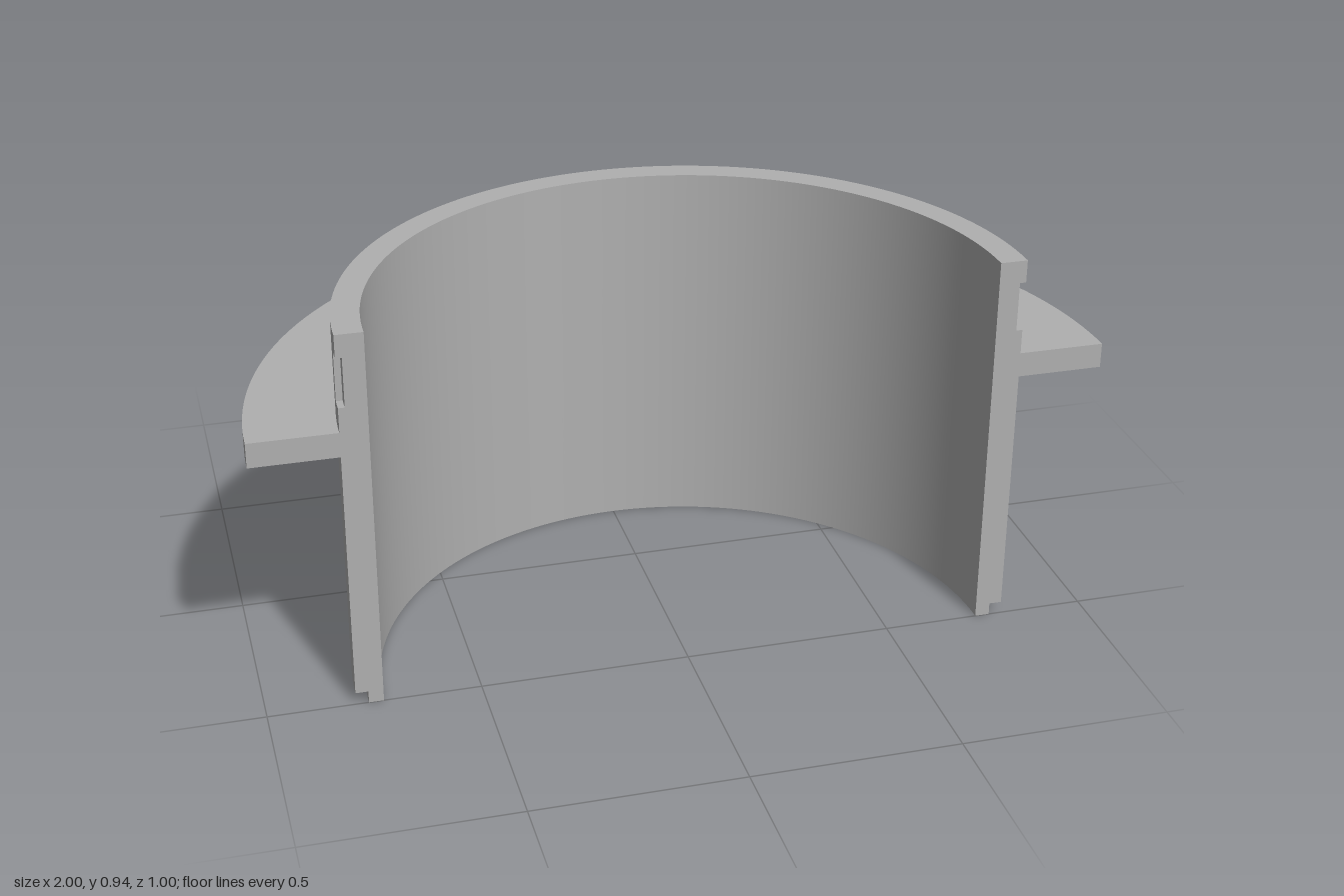
import * as THREE from 'three';
import { mergeGeometries } from 'three/addons/utils/BufferGeometryUtils.js';

const WALL_IN = 0.73, WALL_OUT = 0.795, LIP = 0.765, TOP = 0.94;
const SLOT = { r: 0.78, y0: 0.765, y1: 0.885, half: 0.036 / WALL_OUT };
const points = (list) => list.map(([r, y]) => new THREE.Vector2(r, y));

// Sweep a counter-clockwise profile between two angles (0 = +x end, PI = -x end), one crisp band per edge
function sweep(profile, a0, a1, closed = true) {
  const bands = [];
  const segments = Math.max(2, Math.round((a1 - a0) / Math.PI * 96));
  const count = closed ? profile.length : profile.length - 1;
  for (let i = 0; i < count; i++) {
    const edge = [profile[i], profile[(i + 1) % profile.length]];
    bands.push(new THREE.LatheGeometry(edge, segments, Math.PI / 2 + a0, a1 - a0));
  }
  return bands;
}

// Flat cut faces at both ends of the half ring
function endFaces(profile) {
  return [1, -1].map((s) =>
    new THREE.ShapeGeometry(new THREE.Shape(profile.map((p) => new THREE.Vector2(s * p.x, p.y)))));
}

// Radial side wall of a slot
function slotSide(angle, flip) {
  const g = new THREE.PlaneGeometry(WALL_OUT - SLOT.r, SLOT.y1 - SLOT.y0);
  if (flip) g.rotateY(Math.PI);
  g.translate((WALL_OUT + SLOT.r) / 2, (SLOT.y0 + SLOT.y1) / 2, 0);
  return g.rotateY(angle);
}

export function createModel() {
  const grey = new THREE.MeshStandardMaterial({ color: 0xb0b0b0 });
  grey.name = 'grey';
  const model = new THREE.Group();
  model.name = 'halfCollar';
  const add = (name, parts) => {
    const mesh = new THREE.Mesh(mergeGeometries(parts), grey);
    mesh.name = name;
    mesh.position.z = 0.5;
    model.add(mesh);
  };

  // Wall profiles with a stepped bottom lip, plain and with a slot
  const foot = [[WALL_IN, 0], [LIP, 0], [LIP, 0.03], [WALL_OUT, 0.03]];
  const rim = [[WALL_OUT, TOP], [WALL_IN, TOP]];
  const plain = points([...foot, ...rim]);
  const slotted = points([...foot, [WALL_OUT, SLOT.y0], [SLOT.r, SLOT.y0],
    [SLOT.r, SLOT.y1], [WALL_OUT, SLOT.y1], ...rim]);

  // Half-round wall with slots at both ends and at the middle of the back
  const h = SLOT.half, mid = Math.PI / 2, end = Math.PI;
  add('wall', [
    ...sweep(slotted, 0, h), ...sweep(plain, h, mid - h),
    ...sweep(slotted, mid - h, mid + h), ...sweep(plain, mid + h, end - h),
    ...sweep(slotted, end - h, end), ...endFaces(slotted),
    slotSide(h, false), slotSide(mid - h, true),
    slotSide(mid + h, false), slotSide(end - h, true),
  ]);

  // Flange around the wall
  const flange = points([[WALL_OUT, 0.645], [1, 0.645], [1, 0.705], [WALL_OUT, 0.705]]);
  add('flange', [...sweep(flange, 0, end, false), ...endFaces(flange)]);

  return model;
}
